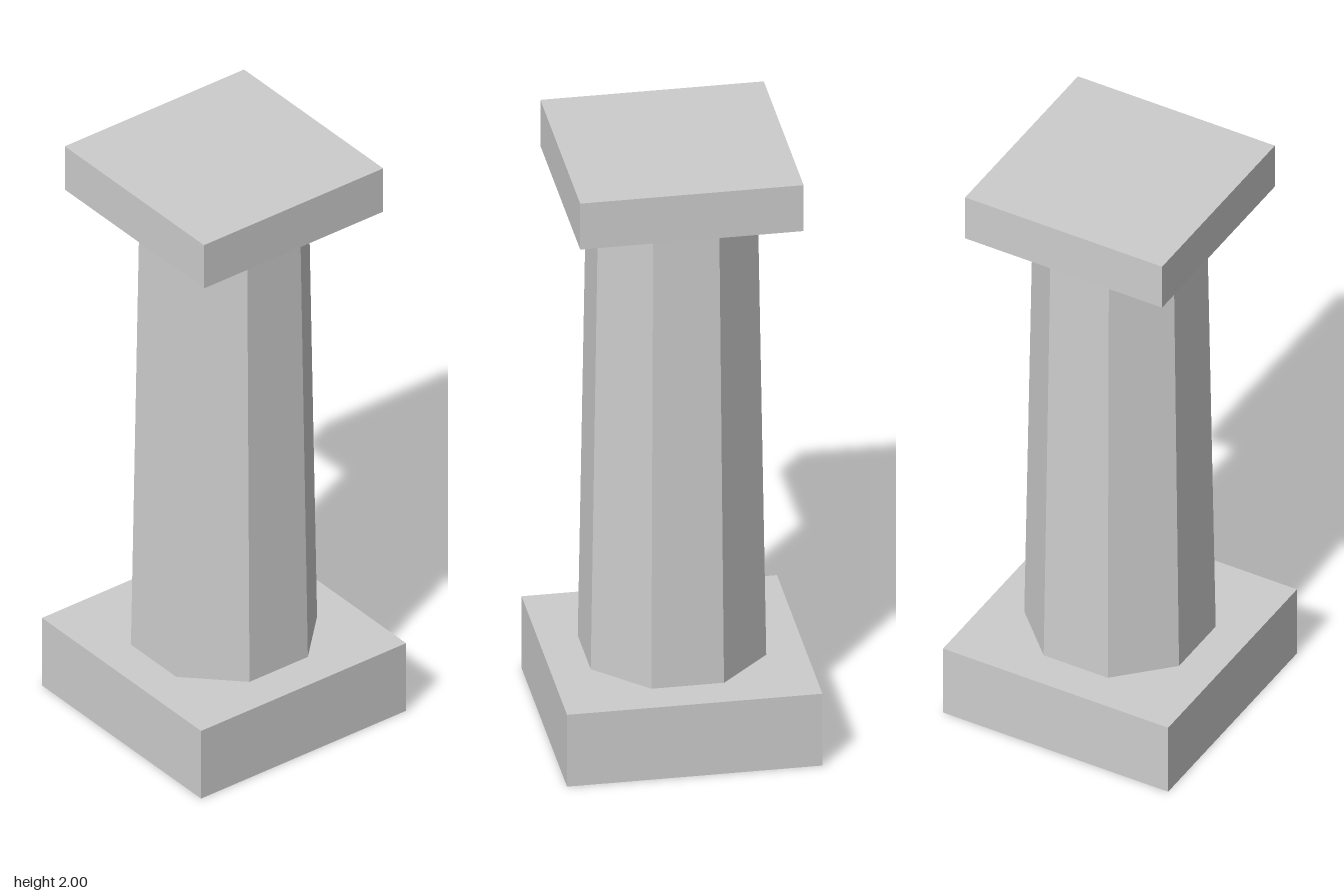
import * as THREE from 'three';

export function createModel() {
  const model = new THREE.Group();
  model.name = 'column';

  const stone = new THREE.MeshStandardMaterial({ color: 0xcccccc, flatShading: true });
  stone.name = 'stone grey';

  const add = (name, geometry, bottom, height) => {
    const mesh = new THREE.Mesh(geometry, stone);
    mesh.name = name;
    mesh.position.y = bottom + height / 2;
    model.add(mesh);
  };

  // Square plinth and capital
  const slab = (name, width, bottom, height) =>
    add(name, new THREE.BoxGeometry(width, height, width), bottom, height);
  slab('base', 0.8, 0, 0.25);
  slab('capital', 0.7, 1.84, 0.16);

  // Tapered octagonal shaft, flat sides facing the axes
  const corner = (flat) => flat / Math.cos(Math.PI / 8);
  const shaft = new THREE.CylinderGeometry(corner(0.25), corner(0.275), 1.59, 8, 1, true);
  shaft.rotateY(Math.PI / 8);
  add('shaft', shaft, 0.25, 1.59);

  return model;
}
